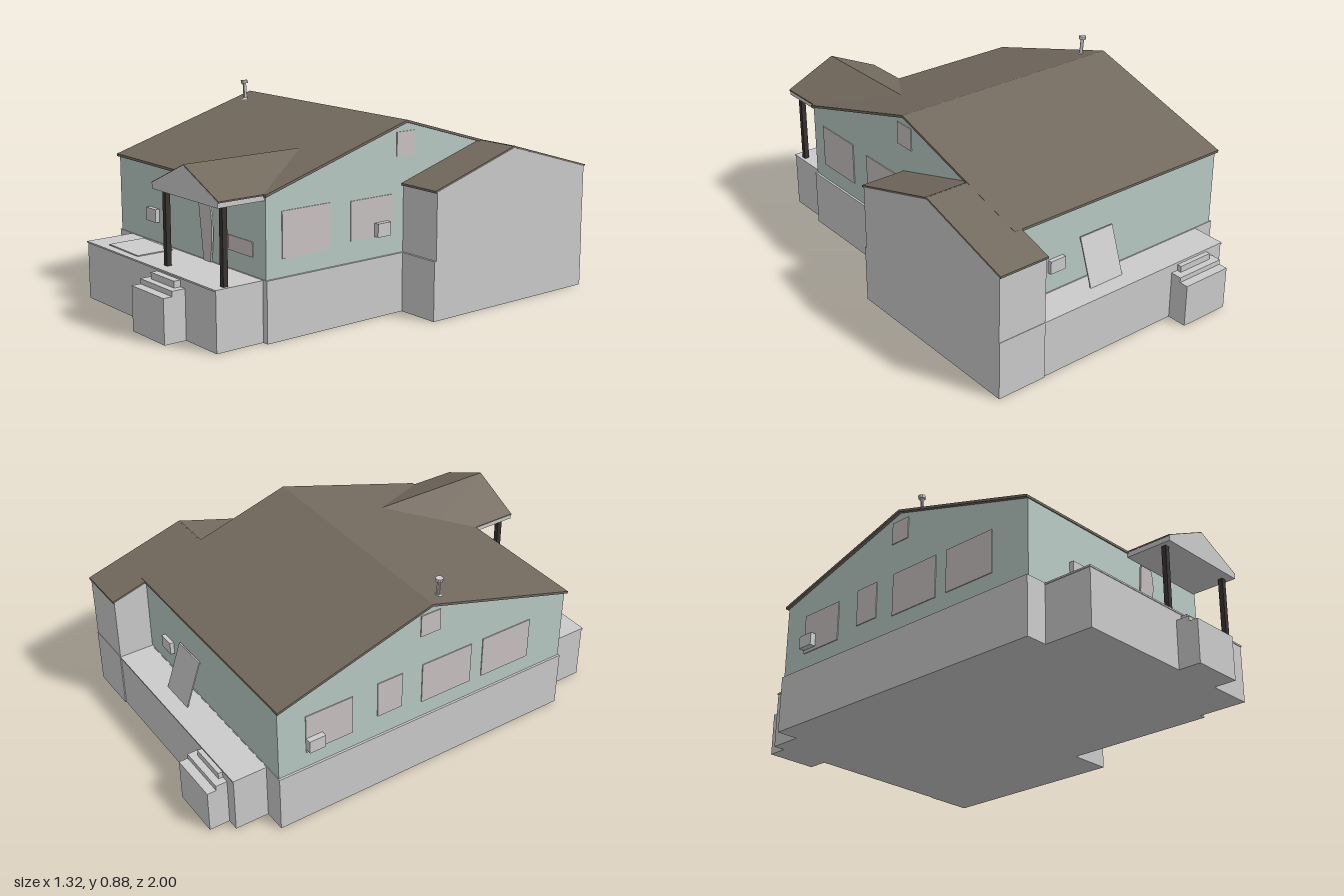
import * as THREE from 'three';

const mat = (color) => new THREE.MeshStandardMaterial({ color, flatShading: true });

export function createModel() {
  const house = new THREE.Group();
  house.name = 'house';
  const grey = mat(0xcccccc), wall = mat(0xb9cac5), roof = mat(0x736a5e);
  const glass = mat(0xc9c3c2), dark = mat(0x373331);

  const add = (name, geo, material) => {
    const m = new THREE.Mesh(geo, material);
    m.name = name;
    house.add(m);
    return m;
  };
  // Box given by its limits on each axis
  const box = (name, [x0, x1], [y0, y1], [z0, z1], material = grey) => {
    const m = add(name, new THREE.BoxGeometry(x1 - x0, y1 - y0, z1 - z0), material);
    m.position.set((x0 + x1) / 2, (y0 + y1) / 2, (z0 + z1) / 2);
    return m;
  };
  // Profile of [z, y] points extruded along x
  const prismX = (name, pts, x0, x1, material) => {
    const shape = new THREE.Shape(pts.map(([z, y]) => new THREE.Vector2(-z, y)));
    const geo = new THREE.ExtrudeGeometry(shape, { depth: x1 - x0, bevelEnabled: false });
    geo.rotateY(Math.PI / 2).translate(x0, 0, 0);
    return add(name, geo, material);
  };
  // Profile of [x, y] points extruded along z
  const prismZ = (name, pts, z0, z1, material) => {
    const shape = new THREE.Shape(pts.map(([x, y]) => new THREE.Vector2(x, y)));
    const geo = new THREE.ExtrudeGeometry(shape, { depth: z1 - z0, bevelEnabled: false });
    geo.translate(0, 0, z0);
    return add(name, geo, material);
  };
  // Bent sheet of thickness t whose top follows eave, ridge, eave
  const sheet = (pts, t) => [...pts, ...pts.slice().reverse().map(([u, y]) => [u, y - t])];

  // Foundations and decks
  box('foundation', [-0.64, 0.46], [0, 0.255], [-0.76, 0.68]);
  box('wingFoundation', [0.43, 0.655], [0, 0.255], [-0.915, -0.02]);
  for (const [name, z0, z1] of [['frontDeck', 0.67, 0.9], ['backDeck', -0.91, -0.75]]) {
    box(name, [-0.54, 0.432], [0, 0.246], [z0, z1]);
    box(name + 'Boards', [-0.543, 0.435], [0.246, 0.253], [z0 - 0.003, z1 + 0.003]);
  }

  // Stepped blocks in front of each deck: [inset, top, reach]
  const steps = [[0, 0.19, 0.1], [0, 0.212, 0.06], [0.032, 0.24, 0.03]];
  for (const [name, x0, x1, s] of [['frontStep', -0.015, 0.22, 1], ['backStep', -0.487, -0.255, -1]]) {
    for (const [inset, top, reach] of steps) {
      const z = [s * 0.89, s * (0.9 + reach)].sort((a, b) => a - b);
      box(name, [x0 + inset, x1 - inset], [0, top], z);
    }
  }

  // Main house body and gable roof
  prismX('mainWalls', [[0.677, 0.25], [0.677, 0.588], [-0.04, 0.802], [-0.757, 0.588], [-0.757, 0.25]],
    -0.63, 0.45, wall);
  prismX('mainRoof', sheet([[0.683, 0.596], [-0.04, 0.812], [-0.763, 0.596]], 0.011), -0.645, 0.461, roof);

  // Side wing; its rear slope continues the main rear slope
  prismX('wingWalls', [[-0.03, 0.25], [-0.03, 0.543], [-0.47, 0.676], [-0.913, 0.543], [-0.913, 0.25]],
    0.43, 0.655, grey);
  prismX('wingRoofRear', sheet([[-0.465, 0.684], [-0.92, 0.549]], 0.009), 0.426, 0.656, roof);
  prismX('wingRoofFront', sheet([[-0.02, 0.548], [-0.47, 0.683]], 0.009), 0.446, 0.656, roof);

  // Porch gable, its roof and posts
  prismZ('porchGable', [[-0.018, 0.57], [0.443, 0.57], [0.443, 0.594], [0.2125, 0.699], [-0.018, 0.594]],
    0.66, 0.892, grey);
  prismZ('porchRoof', sheet([[-0.022, 0.596], [0.2125, 0.703], [0.447, 0.596]], 0.006), 0.32, 0.891, roof);
  for (const x of [0.013, 0.41]) {
    box('porchPost', [x - 0.011, x + 0.011], [0.25, 0.572], [0.835, 0.857], dark);
  }

  // Side windows: [z0, z1, y0, y1]
  const rightWindows = [[0.36, 0.6, 0.33, 0.52], [0.03, 0.255, 0.345, 0.51]];
  const leftWindows = [[-0.63, -0.41, 0.33, 0.51], [-0.29, -0.17, 0.355, 0.52],
    [-0.07, 0.18, 0.33, 0.52], [0.24, 0.49, 0.33, 0.52]];
  const vent = [-0.085, 0.01, 0.665, 0.765];
  for (const [x, list] of [[0.45, rightWindows], [-0.63, leftWindows]]) {
    for (const [z0, z1, y0, y1] of list) box('sideWindow', [x - 0.004, x + 0.004], [y0, y1], [z0, z1], glass);
    box('gableVent', [x - 0.004, x + 0.004], vent.slice(2), vent.slice(0, 2), glass);
  }
  box('frontWindow', [0.2, 0.365], [0.33, 0.392], [0.672, 0.68], glass);

  // Small utility boxes, one on each wall
  const boxY = [0.345, 0.402];
  box('rightUtilityBox', [0.44, 0.478], boxY, [0.06, 0.13]);
  box('leftUtilityBox', [-0.66, -0.62], boxY, [-0.63, -0.555]);
  box('frontUtilityBox', [-0.39, -0.315], boxY, [0.67, 0.697]);
  box('backUtilityBox', [0.21, 0.285], boxY, [-0.775, -0.75]);

  // Front door: bowed free edge, tipped outward at the top
  const door = new THREE.Shape();
  door.moveTo(0, 0).lineTo(0.05, 0);
  door.quadraticCurveTo(0.095, 0.16, 0.08, 0.25).lineTo(0.065, 0.288).lineTo(0, 0.288);
  const doorGeo = new THREE.ExtrudeGeometry(door, { depth: 0.008, bevelEnabled: false });
  const frontDoor = add('frontDoor', doorGeo, glass);
  frontDoor.position.set(0.031, 0.254, 0.678);
  frontDoor.rotation.x = 0.08;

  // Panel leaning on the back wall and panel lying on the front deck
  prismX('leaningPanel', [[-0.84, 0.253], [-0.834, 0.253], [-0.764, 0.455], [-0.77, 0.455]], -0.04, 0.13, grey);
  const lying = box('lyingPanel', [-0.41, -0.18], [0.254, 0.259], [0.7, 0.87]);
  lying.rotation.z = -0.015;

  // Roof vent pipe with cap, slightly tilted
  const pipe = new THREE.Group();
  pipe.name = 'ventPipe';
  const parts = [['pipeFlashing', 0.009, 0.018, 0.008, 0], ['pipeStem', 0.008, 0.008, 0.085, 0.04],
    ['pipeCap', 0.016, 0.016, 0.014, 0.078]];
  for (const [name, rTop, rBottom, h, y] of parts) {
    const m = add(name, new THREE.CylinderGeometry(rTop, rBottom, h, 10), grey);
    m.position.y = y;
    pipe.add(m);
  }
  pipe.position.set(-0.577, 0.79, 0.035);
  pipe.rotation.z = 0.08;
  house.add(pipe);

  return house;
}
